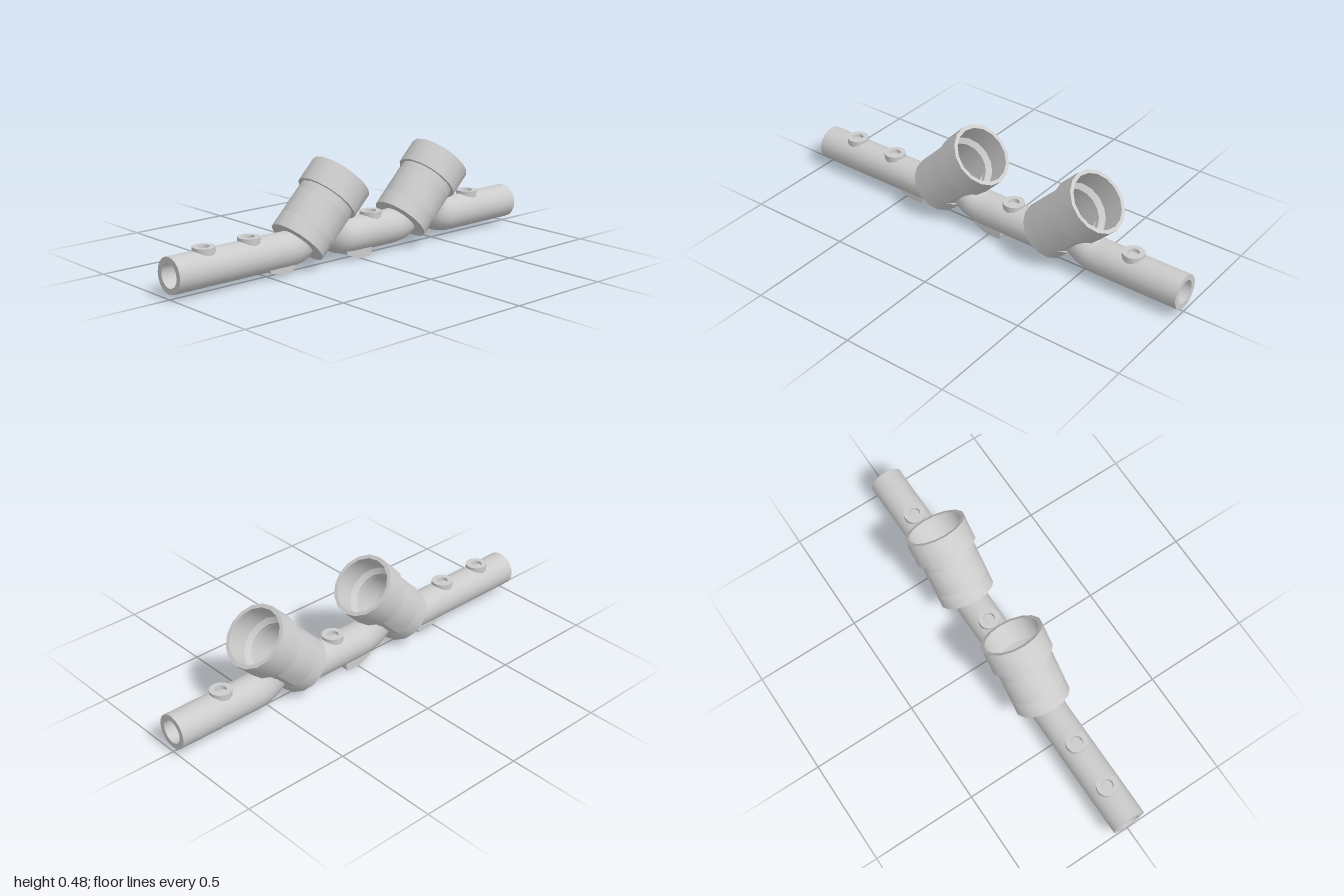
import * as THREE from 'three';
import { toCreasedNormals } from 'three/addons/utils/BufferGeometryUtils.js';

const V2 = (x, y) => new THREE.Vector2(x, y);
const V3 = (x, y) => new THREE.Vector3(x, y, 0);
const grey = new THREE.MeshStandardMaterial({ color: 0xcccccc });
const greyInside = new THREE.MeshStandardMaterial({ color: 0xcccccc, side: THREE.BackSide });

const PIPE_Y = 0.105, PIPE_R = 0.08, BORE_R = 0.054;
const BODY_R = 0.133, WELL_R = 0.108; // valve body outside and inside
const VALVES = [-0.325, 0.295]; // x of each valve's bottom centre

function add(parent, name, geometry, material = grey) {
  const mesh = new THREE.Mesh(geometry, material);
  mesh.name = name;
  parent.add(mesh);
  return mesh;
}

function lathe(points, sides = 16, start = 0, length = Math.PI * 2) {
  const profile = points.map(([x, y]) => V2(x, y));
  return toCreasedNormals(new THREE.LatheGeometry(profile, sides, start, length), 0.5);
}

// Quarter of the valve wall, bent round the axis, with the outlet hole in it
function outletWall(bottom, top) {
  const shape = new THREE.Shape();
  for (let i = 0; i <= 4; i++) {
    const a = -Math.PI / 4 + i * Math.PI / 8;
    i ? shape.lineTo(a, bottom) : shape.moveTo(a, bottom);
  }
  for (let i = 4; i >= 0; i--) shape.lineTo(-Math.PI / 4 + i * Math.PI / 8, top);
  shape.closePath();
  const hole = new THREE.Path();
  hole.absellipse(0, 0.144, BORE_R / 0.12, BORE_R, 0, Math.PI * 2, true);
  shape.holes.push(hole);
  const geo = new THREE.ExtrudeGeometry(shape, { depth: 1, bevelEnabled: false, curveSegments: 16 });
  const p = geo.attributes.position;
  for (let i = 0; i < p.count; i++) {
    const a = p.getX(i), r = THREE.MathUtils.lerp(WELL_R, BODY_R, p.getZ(i));
    p.setXYZ(i, r * Math.cos(a), p.getY(i), -r * Math.sin(a));
  }
  return toCreasedNormals(geo, 0.5);
}

// Slanted open cup with a collar, a floor hole and a side outlet
function createValve() {
  const valve = new THREE.Group();
  valve.name = 'valve';
  const low = 0.075, high = 0.205;
  add(valve, 'valveBase', lathe([
    [WELL_R, low], [WELL_R, 0.02], [BORE_R, 0.02], [BORE_R, 0], [BODY_R, 0], [BODY_R, low],
  ]));
  add(valve, 'valveCollar', lathe([
    [BODY_R, high], [BODY_R, 0.24], [0.148, 0.24], [0.148, 0.36], [0.13, 0.36],
    [0.13, 0.25], [WELL_R, 0.23], [WELL_R, high],
  ]));
  const arc = [12, Math.PI * 0.75, Math.PI * 1.5];
  add(valve, 'valveOuterWall', lathe([[BODY_R, low], [BODY_R, high]], ...arc));
  add(valve, 'valveInnerWall', lathe([[WELL_R, high], [WELL_R, low]], ...arc));
  add(valve, 'valveOutletWall', outletWall(low, high));
  valve.rotation.z = -Math.PI / 4;
  return valve;
}

// Pipe run between two valves; null means an open end of the whole fitting
function createPipe(from, to) {
  const path = new THREE.CurvePath();
  let start = V3(-1, PIPE_Y), end = V3(1, PIPE_Y);
  if (from !== null) {
    // elbow leaving the valve's side, square to its axis
    const k = Math.SQRT1_2;
    const p = V3(from + (0.144 + WELL_R) * k, 0.125 + (0.144 - WELL_R) * k);
    start = V3(from + 0.295, PIPE_Y);
    path.add(new THREE.QuadraticBezierCurve3(p, V3(p.x + p.y - PIPE_Y, PIPE_Y), start));
  }
  if (to !== null) end = V3(to - 0.08, PIPE_Y);
  path.add(new THREE.LineCurve3(start, end));
  if (to !== null) {
    // elbow rising into the valve's bottom
    path.add(new THREE.QuadraticBezierCurve3(end, V3(to - 0.02, PIPE_Y), V3(to, 0.125)));
  }
  const pipe = new THREE.Group();
  pipe.name = 'pipe';
  add(pipe, 'pipeOutside', new THREE.TubeGeometry(path, 64, PIPE_R, 20));
  add(pipe, 'pipeBore', new THREE.TubeGeometry(path, 64, BORE_R, 20), greyInside);
  return pipe;
}

export function createModel() {
  const model = new THREE.Group();
  model.name = 'valveManifold';

  for (const x of VALVES) {
    const valve = createValve();
    valve.position.set(x, 0.125, 0);
    model.add(valve);
  }

  const stops = [null, ...VALVES, null];
  for (let i = 0; i < 3; i++) model.add(createPipe(stops[i], stops[i + 1]));

  // Flat rims at the open pipe ends
  for (const side of [-1, 1]) {
    const rim = add(model, 'pipeEnd', new THREE.RingGeometry(BORE_R, PIPE_R, 20));
    rim.position.set(side, PIPE_Y, 0);
    rim.rotation.y = side * Math.PI / 2;
  }

  // Round tapping bosses along the top
  for (const x of [-0.825, -0.59, 0.108, 0.74]) {
    const boss = add(model, 'topBoss', lathe([
      [0.05, 0.162], [0.05, 0.198], [0.026, 0.198], [0.024, 0.18], [0, 0.18],
    ], 20));
    boss.position.x = x;
  }

  // Sloped drain bosses underneath, ahead of and behind the first valve
  const drains = [
    [[-0.52, 0.05], [-0.51, 0.028], [-0.47, 0.017], [-0.39, 0.013], [-0.378, 0.05]],
    [[-0.08, 0.05], [-0.075, 0.03], [-0.01, 0.003], [0.06, 0.003], [0.07, 0.02], [0.07, 0.05]],
  ];
  for (const points of drains) {
    const shape = new THREE.Shape(points.map(([x, y]) => V2(x, y)));
    const geo = new THREE.ExtrudeGeometry(shape, { depth: 0.1, bevelEnabled: false });
    geo.translate(0, 0, -0.05);
    add(model, 'drainBoss', geo);
  }
  return model;
}
